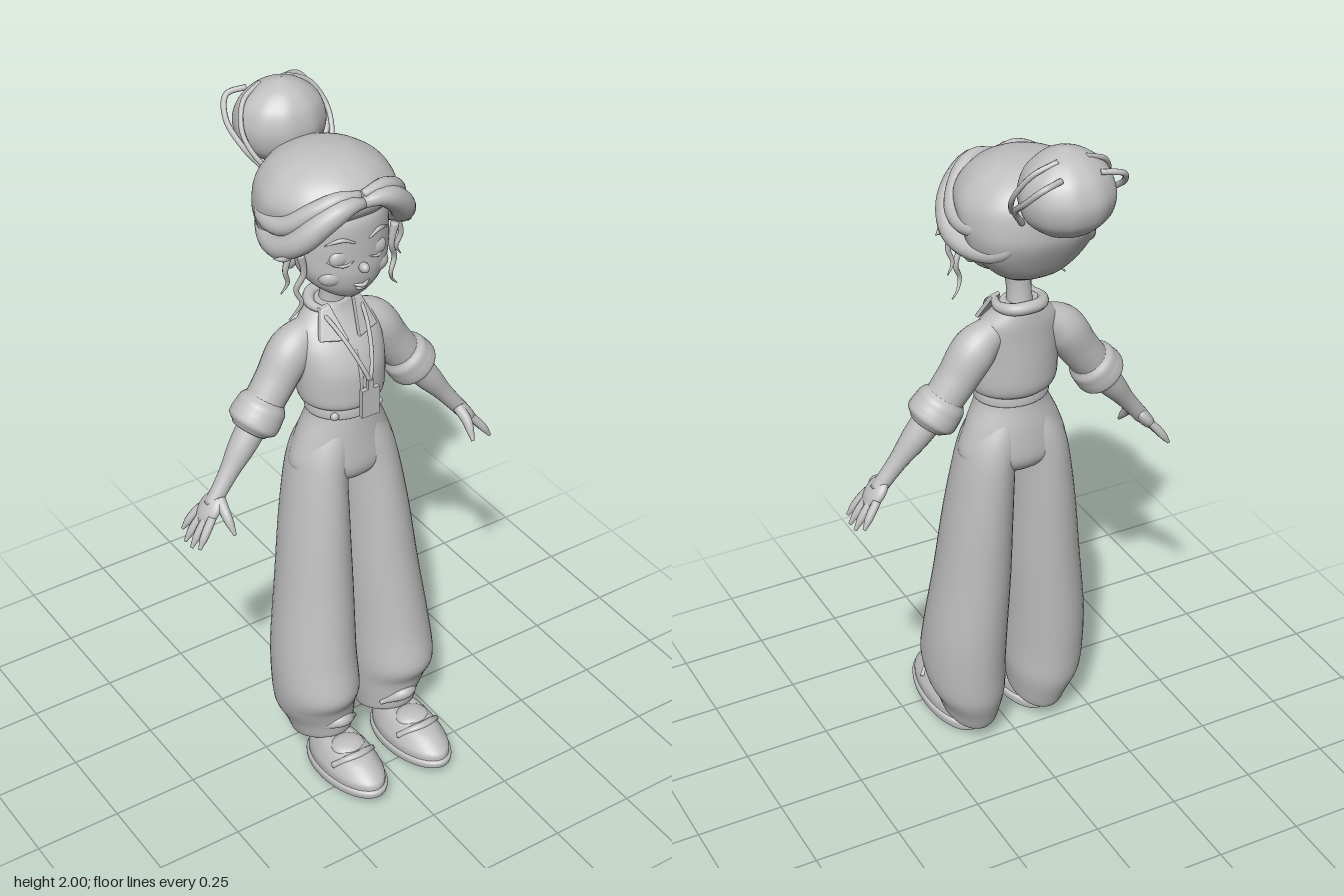
import * as THREE from 'three';

const clay = new THREE.MeshStandardMaterial({ color: 0xbfbfbf });
clay.name = 'light grey clay';
const V = (x, y, z) => new THREE.Vector3(x, y, z);

// smooth interpolation through a list of number rows, t in 0..1
function blend(rows, t) {
  const f = t * (rows.length - 1), i = Math.min(Math.floor(f), rows.length - 2), u = f - i;
  const at = k => rows[Math.max(0, Math.min(rows.length - 1, k))];
  return rows[i].map((b, c) => {
    const d = at(i + 1)[c], m0 = (d - at(i - 1)[c]) * 0.45, m1 = (at(i + 2)[c] - b) * 0.45;
    const u2 = u * u, u3 = u2 * u;
    return (2 * u3 - 3 * u2 + 1) * b + (u3 - 2 * u2 + u) * m0 + (3 * u2 - 2 * u3) * d + (u3 - u2) * m1;
  });
}

// closed skin over rings of points
function skin(rings) {
  const m = rings[0].length, pos = [], idx = [];
  rings.forEach(r => r.forEach(p => pos.push(p.x, p.y, p.z)));
  for (let i = 0; i < rings.length - 1; i++) for (let j = 0; j < m; j++) {
    const a = i * m + j, d = i * m + (j + 1) % m, b = a + m, c = d + m;
    idx.push(a, b, d, d, b, c);
  }
  const g = new THREE.BufferGeometry();
  g.setAttribute('position', new THREE.Float32BufferAttribute(pos, 3));
  g.setIndex(idx);
  g.computeVertexNormals();
  return g;
}

// stacked ellipses: [y, centre x, centre z, radius x, radius z, front rise]
function loft(rows, ridge = 0, m = 40) {
  const n = (rows.length - 1) * 6, rings = [];
  for (let i = -1; i <= n + 1; i++) {
    const [y, cx, cz, rx, rz, k = 0] = blend(rows, Math.min(Math.max(i / n, 0), 1));
    const s = i < 0 || i > n ? 0 : 1;
    rings.push(Array.from({ length: m }, (_, j) => {
      const a = j / m * Math.PI * 2, w = s * (1 + ridge * Math.cos(a * 10));
      const z = Math.max(rz, 0.001) * Math.sin(a) * w;
      return V(cx + Math.max(rx, 0.001) * Math.cos(a) * w, y + k * z, cz + z);
    }));
  }
  return skin(rings);
}

// tapered round sweep along a curve
function sweep(pts, radii, m = 12, n = 28) {
  const curve = new THREE.CatmullRomCurve3(pts.map(p => V(...p)));
  const f = curve.computeFrenetFrames(n), rows = radii.map(r => [r]), rings = [];
  for (let i = -1; i <= n + 1; i++) {
    const k = Math.min(Math.max(i, 0), n), p = curve.getPointAt(k / n);
    const r = i !== k ? 0 : Math.max(blend(rows, k / n)[0], 0.001);
    rings.push(Array.from({ length: m }, (_, j) => {
      const a = j / m * Math.PI * 2;
      return p.clone().addScaledVector(f.normals[k], r * Math.cos(a)).addScaledVector(f.binormals[k], -r * Math.sin(a));
    }));
  }
  return skin(rings);
}

const blob = (p, r, rz = 0) => new THREE.SphereGeometry(1, 28, 20).scale(...r).rotateZ(rz).translate(...p);

export function createModel() {
  const model = new THREE.Group();
  const add = (name, geo) => {
    const mesh = new THREE.Mesh(geo, clay);
    mesh.name = name;
    model.add(mesh);
  };

  // head, neck and face
  add('head', loft([[1.522, 0, 0.065, 0.02, 0.015], [1.54, 0, 0.052, 0.06, 0.045], [1.57, 0, 0.032, 0.1, 0.08],
    [1.61, 0, 0.018, 0.127, 0.1], [1.65, 0, 0.008, 0.137, 0.108], [1.7, 0, 0, 0.14, 0.115],
    [1.76, 0, -0.01, 0.135, 0.118], [1.82, 0, -0.03, 0.1, 0.09]]));
  add('neck', loft([[1.42, 0, -0.025, 0.045, 0.045], [1.47, 0, -0.026, 0.035, 0.035], [1.52, 0, -0.02, 0.034, 0.035], [1.58, 0, -0.01, 0.045, 0.045]]));
  add('nose', blob([0, 1.63, 0.124], [0.013, 0.014, 0.017]));
  add('upperLip', sweep([[-0.03, 1.582, 0.107], [0, 1.577, 0.121], [0.03, 1.582, 0.107]], [0.002, 0.006, 0.002], 8));
  add('lowerLip', blob([0, 1.567, 0.112], [0.016, 0.006, 0.009]));

  // hair cap and bun
  add('hairCap', loft([[1.56, 0, -0.07, 0.05, 0.03], [1.6, 0, -0.09, 0.105, 0.075], [1.66, 0, -0.09, 0.16, 0.115],
    [1.72, 0, -0.085, 0.182, 0.147], [1.78, 0, -0.06, 0.187, 0.175], [1.82, 0, -0.055, 0.172, 0.172],
    [1.86, 0, -0.055, 0.135, 0.14], [1.89, 0, -0.055, 0.075, 0.08], [1.9, 0, -0.055, 0.01, 0.01]], 0.006, 80));
  add('bunBase', blob([0, 1.82, -0.2], [0.075, 0.06, 0.06]));
  add('bun', loft([[1.77, 0, -0.27, 0.015, 0.015], [1.79, 0, -0.272, 0.07, 0.066], [1.83, 0, -0.274, 0.112, 0.105],
    [1.885, 0, -0.274, 0.124, 0.117], [1.94, 0, -0.27, 0.107, 0.1], [1.98, 0, -0.265, 0.062, 0.06], [2, 0, -0.262, 0.01, 0.01]], 0.008, 80));

  // shirt body and collar band
  add('shirt', loft([[1.185, 0, 0.02, 0.095, 0.085], [1.2, 0, 0.018, 0.118, 0.1], [1.23, 0, 0.015, 0.126, 0.105],
    [1.3, 0, 0.012, 0.128, 0.102], [1.36, 0, 0, 0.127, 0.088], [1.41, 0, -0.018, 0.112, 0.07],
    [1.445, 0, -0.028, 0.078, 0.058], [1.47, 0, -0.03, 0.052, 0.05]]));
  add('collarBand', sweep([[-0.052, 1.462, 0.018], [-0.064, 1.462, -0.03], [-0.04, 1.466, -0.072], [0, 1.468, -0.082],
    [0.04, 1.466, -0.072], [0.064, 1.462, -0.03], [0.052, 1.462, 0.018]], [0.01, 0.017, 0.017, 0.01]));
  add('shirtPlacket', sweep([[0, 1.36, 0.087], [0, 1.3, 0.112], [0, 1.21, 0.116]], [0.004, 0.006, 0.004], 8));

  // lanyard card
  add('card', new THREE.BoxGeometry(0.055, 0.085, 0.014).translate(0, 1.235, 0.155));
  add('cardClip', new THREE.BoxGeometry(0.018, 0.03, 0.012).translate(0, 1.29, 0.156));

  // trouser hips and waistband
  add('hips', loft([[0.93, 0, 0.02, 0.03, 0.04], [0.96, 0, 0.02, 0.11, 0.085], [1, 0, 0.018, 0.158, 0.102],
    [1.08, 0, 0.018, 0.135, 0.097], [1.15, 0, 0.022, 0.104, 0.088], [1.21, 0, 0.022, 0.092, 0.082]]));
  add('waistband', loft([[1.16, 0, 0.022, 0.098, 0.085], [1.165, 0, 0.022, 0.106, 0.092], [1.19, 0, 0.022, 0.104, 0.09], [1.2, 0, 0.022, 0.09, 0.08]]));

  for (const s of [1, -1]) {
    const side = s > 0 ? 'left' : 'right';
    const path = (name, pts, radii, m) => add(side + name, sweep(pts.map(([x, y, z]) => [x * s, y, z]), radii, m));
    const ball = (name, [x, y, z], r, rz = 0) => add(side + name, blob([x * s, y, z], r, rz * s));
    const stack = (name, rows) => add(side + name, loft(rows.map(([y, x, ...rest]) => [y, x * s, ...rest])));

    // eyes, brows and ears
    ball('Eyelid', [0.055, 1.662, 0.094], [0.031, 0.026, 0.017]);
    path('Lashes', [[0.022, 1.653, 0.113], [0.05, 1.643, 0.111], [0.08, 1.652, 0.095], [0.097, 1.664, 0.08]], [0.002, 0.004, 0.004, 0.002], 8);
    path('Brow', [[0.022, 1.705, 0.114], [0.055, 1.718, 0.107], [0.095, 1.705, 0.086]], [0.003, 0.006, 0.002], 8);
    ball('Cheek', [0.065, 1.605, 0.072], [0.04, 0.03, 0.032]);
    ball('Ear', [0.138, 1.64, -0.015], [0.018, 0.035, 0.025]);

    // swept front locks and loose strands
    path('FrontLock', [[0, 1.815, 0.118], [0.05, 1.822, 0.125], [0.11, 1.785, 0.105], [0.155, 1.73, 0.07],
      [0.175, 1.69, 0.01], [0.165, 1.675, -0.07], [0.125, 1.69, -0.155], [0.07, 1.76, -0.21]],
      [0.015, 0.03, 0.035, 0.033, 0.03, 0.026, 0.022, 0.012], 16);
    path('UpperLock', [[0.005, 1.835, 0.11], [0.06, 1.838, 0.105], [0.12, 1.805, 0.075], [0.168, 1.75, 0.01],
      [0.17, 1.74, -0.08], [0.12, 1.78, -0.17]], [0.012, 0.024, 0.026, 0.026, 0.022, 0.01], 16);
    path('SideWisp', [[0.16, 1.71, 0.05], [0.19, 1.68, 0.045], [0.212, 1.678, 0.03]], [0.014, 0.012, 0.002], 8);
    path('LooseStrand', [[0.145, 1.68, 0.05], [0.135, 1.62, 0.05], [0.152, 1.57, 0.04], [0.138, 1.53, 0.045], [0.15, 1.5, 0.035], [0.168, 1.48, 0.03]],
      [0.012, 0.009, 0.008, 0.007, 0.005, 0.002], 8);
    path('CurlStrand', [[0.165, 1.68, 0.03], [0.178, 1.63, 0.03], [0.168, 1.59, 0.025], [0.185, 1.56, 0.02]], [0.01, 0.008, 0.006, 0.002], 8);

    // ties looping around the bun
    path('OuterBunTie', [[0.055, 1.955, -0.345], [0.11, 1.945, -0.355], [0.137, 1.9, -0.315], [0.128, 1.845, -0.245], [0.09, 1.79, -0.21]], [0.008, 0.008], 8);
    path('InnerBunTie', [[0.04, 1.983, -0.3], [0.1, 1.955, -0.285], [0.13, 1.89, -0.245], [0.115, 1.83, -0.2], [0.08, 1.79, -0.17]], [0.007, 0.007], 8);

    // collar flap, draped over the chest
    const flap = new THREE.ExtrudeGeometry(new THREE.Shape([[0.02, 1.395], [0.04, 1.472], [0.062, 1.468], [0.085, 1.4]]
      .map(([x, y]) => new THREE.Vector2(x * s, y))), { depth: 0.012, bevelSize: 0.003, bevelThickness: 0.003, bevelSegments: 2 });
    const p = flap.attributes.position;
    for (let i = 0; i < p.count; i++) {
      const x = p.getX(i), y = p.getY(i);
      p.setZ(i, p.getZ(i) + 0.018 + (1.47 - y) * 0.7 - x * x * 3);
    }
    flap.computeVertexNormals();
    add(side + 'CollarFlap', flap);
    path('Lanyard', [[0.062, 1.462, -0.03], [0.056, 1.45, 0.035], [0.036, 1.4, 0.1], [0.013, 1.335, 0.145], [0, 1.3, 0.155]], [0.006, 0.006], 8);

    // sleeve, rolled cuff and forearm
    path('Sleeve', [[0.06, 1.4, -0.025], [0.12, 1.36, -0.024], [0.185, 1.268, -0.02], [0.235, 1.2, -0.016]], [0.04, 0.061, 0.057, 0.054], 24);
    path('Cuff', [[0.213, 1.228, -0.017], [0.243, 1.188, -0.015], [0.272, 1.15, -0.013]], [0.054, 0.067, 0.07, 0.072, 0.07, 0.05], 28);
    path('Forearm', [[0.24, 1.19, -0.012], [0.31, 1.1, -0.002], [0.375, 1.015, 0.008], [0.41, 0.97, 0.012]], [0.042, 0.038, 0.026, 0.022], 20);

    // hand
    ball('Palm', [0.415, 0.965, 0.013], [0.02, 0.05, 0.04], 0.67);
    [-0.018, 0.003, 0.024, 0.043].forEach((z, i) => {
      const l = [0.8, 1, 1, 0.88][i], dz = (z - 0.013) * 0.6;
      path('Finger' + (i + 1), [[0.425, 0.955, z], [0.425 + 0.035 * l, 0.955 - 0.045 * l, z + dz * 0.6], [0.425 + 0.06 * l, 0.955 - 0.083 * l, z + dz]],
        [0.012, 0.0125, 0.011, 0.005], 10);
    });
    path('Thumb', [[0.39, 0.99, 0.025], [0.394, 0.965, 0.062], [0.392, 0.937, 0.086], [0.39, 0.918, 0.1]], [0.016, 0.015, 0.012, 0.005], 10);

    // wide trouser leg with gathered, tilted hem
    stack('TrouserLeg', [[0.1, 0.11, 0.085, 0.06, 0.075, 0.35], [0.092, 0.11, 0.085, 0.078, 0.1, 0.35], [0.14, 0.114, 0.078, 0.092, 0.115, 0.3],
      [0.2, 0.124, 0.072, 0.11, 0.132, 0.2], [0.28, 0.128, 0.08, 0.117, 0.148, 0.05], [0.4, 0.125, 0.065, 0.115, 0.14, 0],
      [0.6, 0.11, 0.047, 0.105, 0.127, 0], [0.8, 0.098, 0.032, 0.093, 0.117, 0], [0.97, 0.083, 0.02, 0.08, 0.105, 0],
      [1.05, 0.065, 0.018, 0.075, 0.096, 0], [1.12, 0.045, 0.02, 0.05, 0.08, 0]]);
    path('HemFold', [[0.045, 0.15, 0.16], [0.11, 0.185, 0.192], [0.175, 0.16, 0.155]], [0.006, 0.02, 0.006]);
    ball('WaistButton', [0.07, 1.175, 0.094], [0.012, 0.012, 0.01]);

    // shoe with sole, strap and tongue
    stack('Sole', [[0.02, 0.112, 0.22, 0.07, 0.155, 0.117], [0.023, 0.112, 0.22, 0.082, 0.168, 0.117],
      [0.042, 0.112, 0.22, 0.084, 0.17, 0.1], [0.05, 0.112, 0.22, 0.076, 0.16, 0.1]]);
    stack('Shoe', [[0.04, 0.112, 0.22, 0.077, 0.162, 0.1], [0.07, 0.112, 0.219, 0.078, 0.16, 0.06], [0.095, 0.112, 0.218, 0.068, 0.142, 0],
      [0.115, 0.112, 0.21, 0.055, 0.112, 0], [0.125, 0.112, 0.205, 0.04, 0.08, 0]]);
    path('ShoeStrap', [[0.045, 0.09, 0.25], [0.08, 0.116, 0.275], [0.112, 0.121, 0.282], [0.145, 0.116, 0.275], [0.18, 0.09, 0.25]], [0.009, 0.012, 0.009]);
    ball('ShoeTongue', [0.112, 0.118, 0.225], [0.05, 0.02, 0.045]);
  }
  return model;
}
